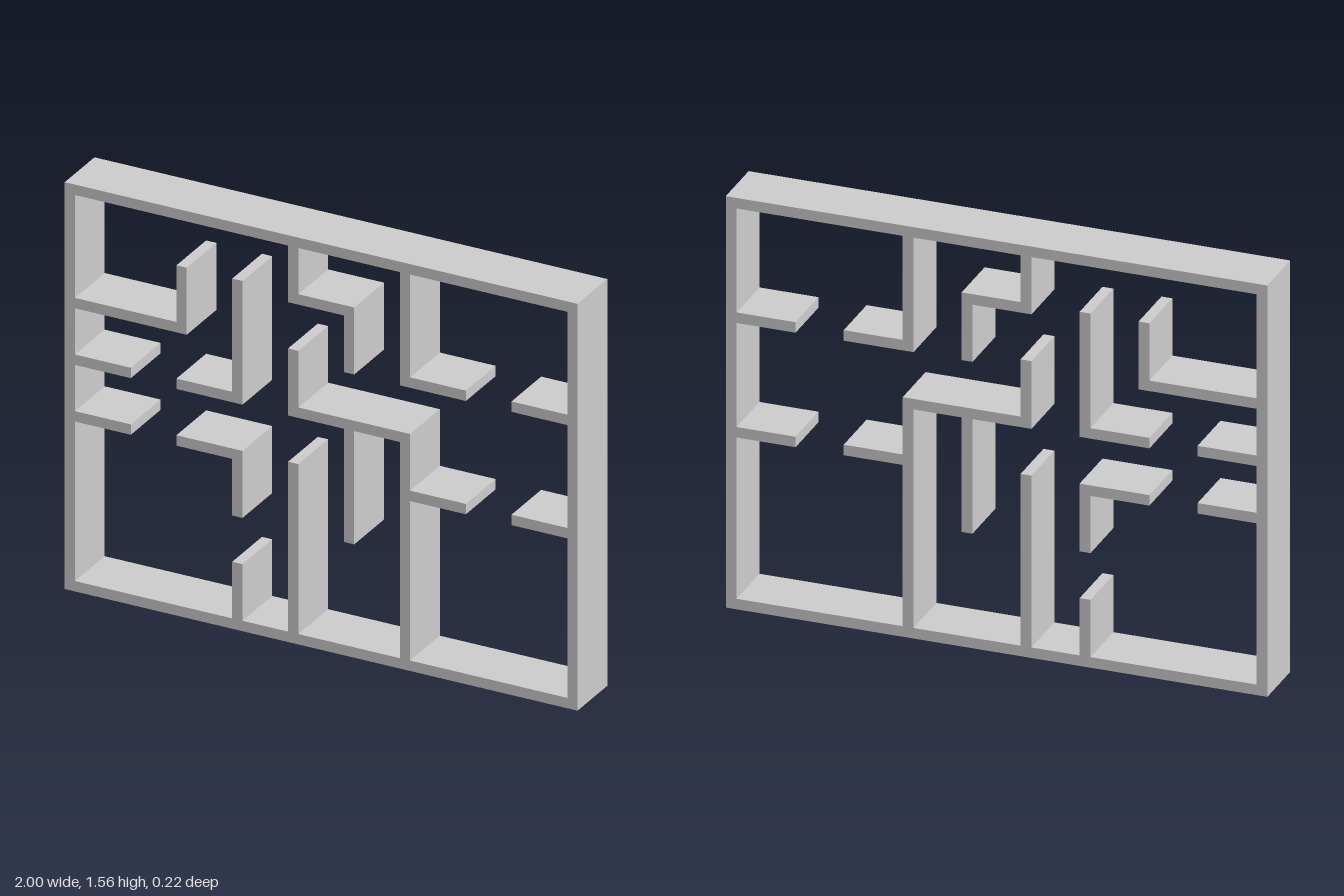
import * as THREE from 'three';

const T = 0.04;                 // wall thickness
const CELL = (2 - T) / 9;       // maze pitch: 9 cells wide, 7 high
const DEPTH = CELL;

// Walls as [column0, row0, column1, row1] on the maze nodes, through walls first
const WALLS = {
  outerFrame: [[0, 0, 9, 0], [0, 7, 9, 7], [0, 0, 0, 7], [9, 0, 9, 7]],
  rightSideShelves: [[0, 5, 2, 5], [2, 5, 2, 6], [0, 4, 1, 4], [0, 3, 1, 3]],
  freeUpperCorner: [[3, 4, 3, 6], [2, 4, 3, 4]],
  freeLowerCorner: [[2, 3, 3, 3], [3, 2, 3, 3]],
  floorStubs: [[3, 0, 3, 1], [4, 0, 4, 3]],
  centralWalls: [[6, 0, 6, 4], [4, 4, 6, 4], [4, 4, 4, 5], [5, 2, 5, 4], [6, 3, 7, 3]],
  hangingHook: [[4, 6, 4, 7], [4, 6, 5, 6], [5, 5, 5, 6]],
  hangingCorner: [[6, 5, 6, 7], [6, 5, 7, 5]],
  leftSideShelves: [[8, 5, 9, 5], [8, 3, 9, 3]],
};

export function createModel() {
  const model = new THREE.Group();
  model.name = 'mazePanel';
  const material = new THREE.MeshStandardMaterial({ color: 0xcccccc, flatShading: true });
  const built = [];
  const touches = (c, r) => built.some(([a, b, d, e]) => c >= a && c <= d && r >= b && r <= e);

  for (const [name, walls] of Object.entries(WALLS)) {
    const group = new THREE.Group();
    group.name = name;
    for (const wall of walls) {
      const [c0, r0, c1, r1] = wall;
      const across = r0 === r1;
      // An end butts against a wall already there, otherwise it covers its node
      const start = (across ? c0 : r0) * CELL + (touches(c0, r0) ? T / 2 : -T / 2);
      const end = (across ? c1 : r1) * CELL + (touches(c1, r1) ? -T / 2 : T / 2);
      const length = end - start;
      const mid = (start + end) / 2;
      const mesh = new THREE.Mesh(
        new THREE.BoxGeometry(across ? length : T, across ? T : length, DEPTH), material);
      mesh.position.set(
        (across ? mid : c0 * CELL) - 1 + T / 2,
        (across ? r0 * CELL : mid) + T / 2, 0);
      mesh.name = across ? 'shelfWall' : 'uprightWall';
      group.add(mesh);
      built.push(wall);
    }
    model.add(group);
  }
  return model;
}
